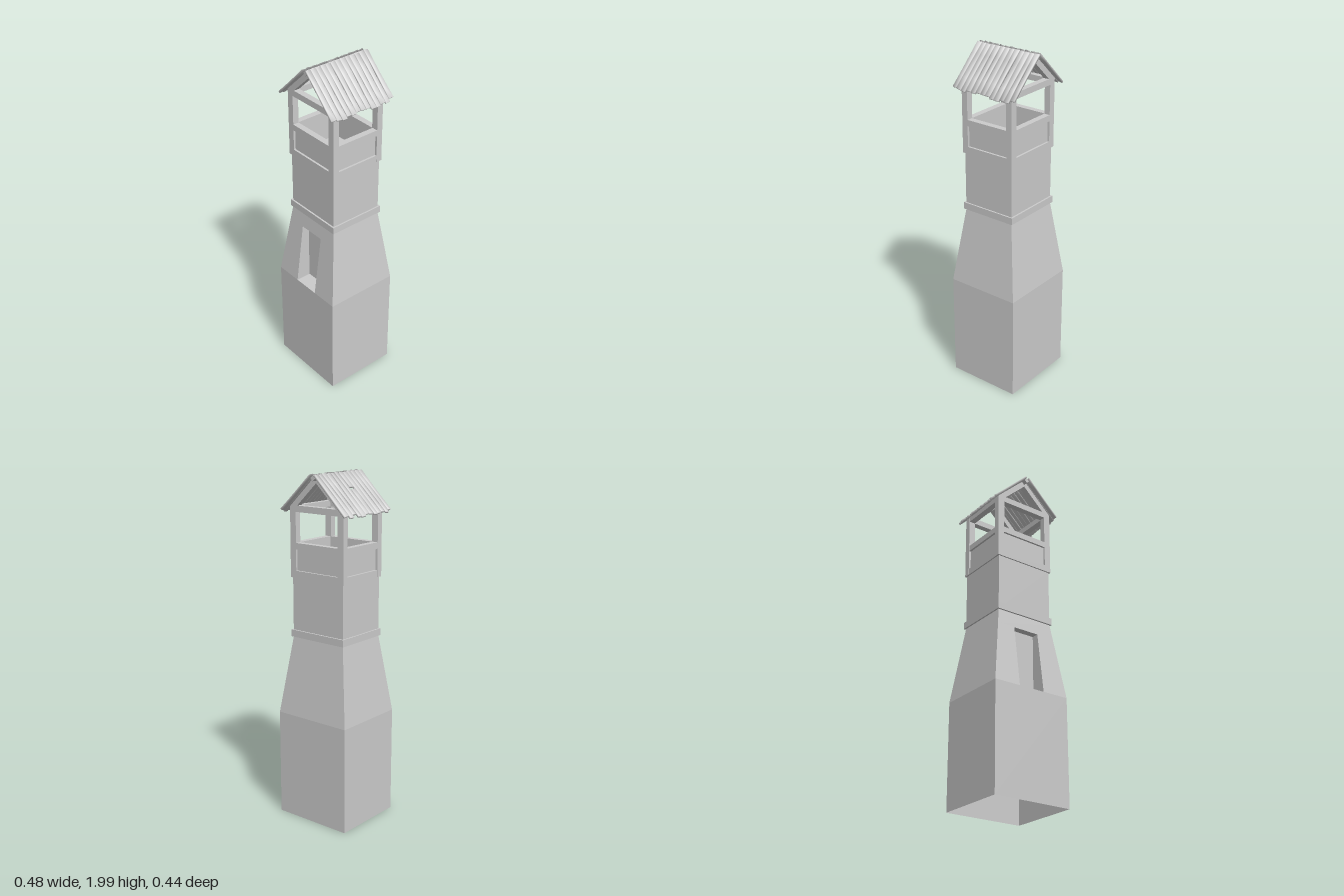
import * as THREE from 'three';
import { mergeVertices } from 'three/addons/utils/BufferGeometryUtils.js';

const grey = new THREE.MeshStandardMaterial({ color: 0xcccccc, side: THREE.DoubleSide });

function add(parent, name, geometry, x = 0, y = 0, z = 0) {
  const mesh = new THREE.Mesh(geometry, grey);
  mesh.name = name;
  mesh.position.set(x, y, z);
  parent.add(mesh);
  return mesh;
}

// Flat-shaded geometry from a list of four-cornered faces
function fromQuads(quads) {
  const points = [];
  for (const [a, b, c, d] of quads) points.push(...a, ...b, ...c, ...a, ...c, ...d);
  const g = new THREE.BufferGeometry();
  g.setAttribute('position', new THREE.Float32BufferAttribute(points, 3));
  g.computeVertexNormals();
  return g;
}

const ring = (y, hx, hz) => [[hx, y, hz], [hx, y, -hz], [-hx, y, -hz], [-hx, y, hz]];

// Walls between two rectangular rings; side 3 is the front
const walls = (lo, hi, sides = [0, 1, 2, 3]) => sides.map((i) => {
  const j = (i + 1) % 4;
  return [lo[i], lo[j], hi[j], hi[i]];
});

const rect = (Type, x0, y0, x1, y1) =>
  new Type([[x0, y0], [x1, y0], [x1, y1], [x0, y1]].map((p) => new THREE.Vector2(...p)));

// Hollow shaft, open below, with a niche cut into the sloping front
function buildShaft(tower) {
  const y0 = 0.62, y1 = 1.07, yTop = 0.98, w = 0.08, back = 0.13;
  const base = ring(0, 0.24, 0.22), shoulder = ring(y0, 0.24, 0.22), waist = ring(y1, 0.178, 0.16);
  const t = (yTop - y0) / (y1 - y0);
  const hx = THREE.MathUtils.lerp(0.24, 0.178, t), hz = THREE.MathUtils.lerp(0.22, 0.16, t);
  const quads = [...walls(base, shoulder), ...walls(shoulder, waist, [0, 1, 2])];
  // Front strips around the niche
  quads.push(
    [[-0.24, y0, 0.22], [-w, y0, 0.22], [-w, yTop, hz], [-hx, yTop, hz]],
    [[w, y0, 0.22], [0.24, y0, 0.22], [hx, yTop, hz], [w, yTop, hz]],
    [[-hx, yTop, hz], [hx, yTop, hz], waist[0], waist[3]],
  );
  add(tower, 'taperedShaft', fromQuads(quads));

  add(tower, 'frontNiche', fromQuads([
    [[-w, y0, back], [w, y0, back], [w, yTop, back], [-w, yTop, back]],
    [[-w, y0, 0.22], [w, y0, 0.22], [w, y0, back], [-w, y0, back]],
    [[-w, yTop, back], [w, yTop, back], [w, yTop, hz], [-w, yTop, hz]],
    [[-w, y0, 0.22], [-w, y0, back], [-w, yTop, back], [-w, yTop, hz]],
    [[w, y0, back], [w, y0, 0.22], [w, yTop, hz], [w, yTop, back]],
  ]));

  add(tower, 'neck', fromQuads(walls(waist, ring(1.42, 0.178, 0.16))));

  // Collar as a square band around the neck
  const out0 = ring(1.07, 0.187, 0.17), out1 = ring(1.11, 0.187, 0.17);
  const in0 = ring(1.07, 0.17, 0.152), in1 = ring(1.11, 0.17, 0.152);
  add(tower, 'collar', fromQuads([...walls(out0, out1), ...walls(out1, in1), ...walls(in0, out0)]));
}

// One face of the lookout: posts, beams, an opening and a sunken panel
function buildFrame(name, half, inner, gable) {
  const frame = new THREE.Group();
  frame.name = name;
  const depth = 0.036;
  const shape = gable
    ? new THREE.Shape([[-half, 1.41], [half, 1.41], [half, 1.803], [0, 1.982], [-half, 1.803]]
      .map((p) => new THREE.Vector2(...p)))
    : rect(THREE.Shape, -half, 1.41, half, 1.808);
  shape.holes.push(rect(THREE.Path, -inner, 1.605, inner, 1.775));
  shape.holes.push(rect(THREE.Path, -inner, 1.45, inner, 1.57));
  if (gable) {
    shape.holes.push(new THREE.Path([[-0.135, 1.81], [0.135, 1.81], [0, 1.938]]
      .map((p) => new THREE.Vector2(...p))));
  }
  add(frame, 'timberFrame', new THREE.ExtrudeGeometry(shape, { depth, bevelEnabled: false }), 0, 0, -depth);
  add(frame, 'sunkenPanel', new THREE.BoxGeometry(2 * inner, 0.12, 0.024), 0, 1.51, -0.024);
  return frame;
}

function buildLookout(tower) {
  for (const s of [1, -1]) {
    const end = buildFrame(s > 0 ? 'frontFrame' : 'backFrame', 0.187, 0.147, true);
    end.position.z = s * 0.168;
    if (s < 0) end.rotation.y = Math.PI;
    const side = buildFrame(s > 0 ? 'leftFrame' : 'rightFrame', 0.167, 0.133, false);
    side.position.x = s * 0.186;
    side.rotation.y = s * Math.PI / 2;
    tower.add(end, side);
  }
  add(tower, 'lookoutFloor', new THREE.BoxGeometry(0.36, 0.02, 0.32), 0, 1.421, 0);
}

// Warped, softly shaded roof plank lying along x from its upper end
function plankGeometry(length, width, rand) {
  let g = new THREE.BoxGeometry(length, 0.012, width, 4, 1, 1);
  g.deleteAttribute('uv');
  g.deleteAttribute('normal');
  g = mergeVertices(g);
  const p = g.attributes.position;
  const twist = (rand() - 0.5) * 0.35, skew = (rand() - 0.5) * 0.006, cut = (rand() - 0.5) * 0.2;
  const pinch = 0.75 + rand() * 0.25;
  for (let i = 0; i < p.count; i++) {
    const u = p.getX(i) / length, y = p.getY(i), z = p.getZ(i);
    const narrow = 1 - (1 - pinch) * Math.cos(u * Math.PI);
    p.setXYZ(i, p.getX(i) + length / 2 + z * cut * Math.sign(u),
      y + z * twist * u * 2, z * narrow + skew * u);
  }
  g.computeVertexNormals();
  return g;
}

function buildRoof(tower) {
  let seed = 7;
  const rand = () => (seed = (seed * 16807) % 2147483647) / 2147483647;
  const slope = Math.atan2(0.205, 0.215);
  for (const [s, count, first, last] of [[1, 13, -0.196, 0.188], [-1, 12, -0.184, 0.19]]) {
    const roof = new THREE.Group();
    roof.name = s > 0 ? 'leftRoofSlope' : 'rightRoofSlope';
    // Turned half a circle for the other side, so z runs backwards there
    roof.rotation.y = s > 0 ? 0 : Math.PI;
    for (let i = 0; i < count; i++) {
      const z = first + (last - first) * i / (count - 1);
      const length = 0.286 + rand() * 0.018;
      const lift = rand() * 0.003;
      const split = s < 0 && i === 6;
      const parts = split ? [[0, 0.105], [0.125, length - 0.125]] : [[0, length]];
      for (const [start, size] of parts) {
        const x = 0.006 + rand() * 0.006 + start * Math.cos(slope);
        const plank = add(roof, 'roofPlank', plankGeometry(size, 0.028, rand),
          x, 1.988 + lift - x * 0.955, s * z);
        plank.rotation.z = -slope;
      }
    }
    tower.add(roof);
  }
  // Ridge beam under the planks
  const ridge = add(tower, 'ridgeBeam', new THREE.BoxGeometry(0.022, 0.022, 0.39), 0, 1.966, 0);
  ridge.rotation.z = Math.PI / 4;
}

export function createModel() {
  const tower = new THREE.Group();
  tower.name = 'watchtower';
  buildShaft(tower);
  buildLookout(tower);
  buildRoof(tower);
  return tower;
}
